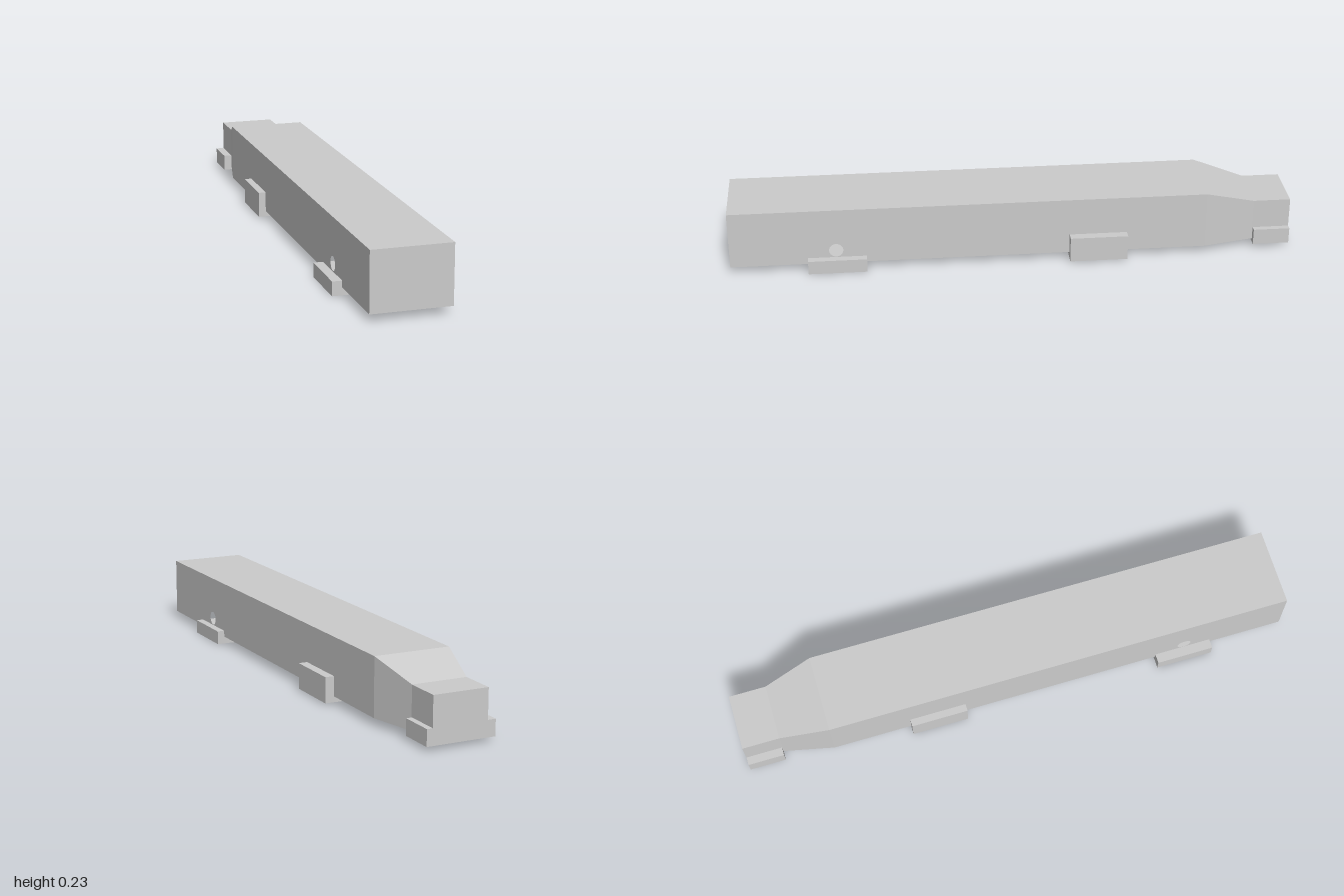
import * as THREE from 'three';
import { toCreasedNormals } from 'three/addons/utils/BufferGeometryUtils.js';

const material = new THREE.MeshStandardMaterial({ color: 0xcccccc, side: THREE.DoubleSide });
const FLOOR = 0.027;

function add(parent, name, geometry) {
  const mesh = new THREE.Mesh(geometry, material);
  mesh.name = name;
  parent.add(mesh);
  return mesh;
}

function box(parent, name, x0, x1, y0, y1, z0, z1) {
  const g = new THREE.BoxGeometry(x1 - x0, y1 - y0, z1 - z0);
  g.translate((x0 + x1) / 2, (y0 + y1) / 2, (z0 + z1) / 2);
  return add(parent, name, g);
}

function rectangle(PathType, x0, x1, y0, y1) {
  return new PathType([[x0, y0], [x1, y0], [x1, y1], [x0, y1]].map(p => new THREE.Vector2(...p)));
}

// Flat-shaded surface from four-cornered faces
function quads(list) {
  const points = list.flatMap(([a, b, c, d]) => [a, b, c, a, c, d]).flat();
  const g = new THREE.BufferGeometry();
  g.setAttribute('position', new THREE.Float32BufferAttribute(points, 3));
  g.computeVertexNormals();
  return g;
}

// Block with a pocket sunk into its underside: a rim below a solid plate
function pocketBlock(parent, name, [x0, x1], [y0, y1], [z0, z1], [px0, px1], depth, rim) {
  const shape = rectangle(THREE.Shape, x0, x1, z0, z1);
  shape.holes.push(rectangle(THREE.Path, px0, px1, z0 + rim, z1 - rim));
  const g = new THREE.ExtrudeGeometry(shape, { depth, bevelEnabled: false });
  g.rotateX(Math.PI / 2).translate(0, y0 + depth, 0);
  add(parent, name + 'Rim', g);
  box(parent, name + 'Plate', x0, x1, y0 + depth, y1, z0, z1);
}

// Thin shell, open underneath, tapering to the rear
function buildShell() {
  const shell = new THREE.Group();
  shell.name = 'shell';
  // Stations: z, half width, top height
  const stations = [[1, 0.139, 0.235], [-0.69, 0.139, 0.235], [-0.867, 0.1, 0.18], [-1, 0.1, 0.18]];
  const top = [], sides = [];
  for (let i = 0; i < 3; i++) {
    const [za, wa, ha] = stations[i], [zb, wb, hb] = stations[i + 1];
    top.push([[-wa, ha, za], [wa, ha, za], [wb, hb, zb], [-wb, hb, zb]]);
    if (i === 0) continue;
    for (const s of [1, -1]) {
      const face = [[s * wa, FLOOR, za], [s * wb, FLOOR, zb], [s * wb, hb, zb], [s * wa, ha, za]];
      sides.push(s > 0 ? face : face.reverse());
    }
  }
  add(shell, 'roof', quads(top));
  add(shell, 'taperedSides', quads(sides));

  const endFace = ([z, w, h], s) =>
    [[-s * w, FLOOR, z], [s * w, FLOOR, z], [s * w, h, z], [-s * w, h, z]];
  add(shell, 'frontWall', quads([endFace(stations[0], 1)]));
  add(shell, 'rearWall', quads([endFace(stations[3], -1)]));

  // Long side walls, each with a round pin hole
  for (const s of [1, -1]) {
    const [u0, u1] = s > 0 ? [-1, 0.69] : [-0.69, 1];
    const shape = rectangle(THREE.Shape, u0, u1, FLOOR, 0.235);
    shape.holes.push(new THREE.Path().absarc(-s * 0.627, 0.077, 0.025, 0, Math.PI * 2, true));
    const g = new THREE.ShapeGeometry(shape, 24);
    g.rotateY(s * Math.PI / 2).translate(s * 0.139, 0, 0);
    add(shell, s > 0 ? 'leftWall' : 'rightWall', g);
  }
  return shell;
}

function buildFrontMount() {
  const mount = new THREE.Group();
  mount.name = 'frontMount';
  pocketBlock(mount, 'frontMount', [-0.173, 0.166], [0, 0.05], [0.52, 0.727], [-0.135, 0.145], 0.025, 0.012);
  return mount;
}

// Middle mount: a half-round channel between two pockets
function buildMiddleMount() {
  const mount = new THREE.Group();
  mount.name = 'middleMount';
  const y0 = 0.006, y1 = 0.098, r = 0.052, w = 0.065;
  const arch = new THREE.Shape();
  arch.moveTo(-w, y1).lineTo(-w, y0).lineTo(-r, y0);
  arch.absarc(0, y0, r, Math.PI, 0, true);
  arch.lineTo(w, y0).lineTo(w, y1).closePath();
  const g = new THREE.ExtrudeGeometry(arch, { depth: 0.205, bevelEnabled: false, curveSegments: 24 });
  g.translate(0, 0, -0.405);
  add(mount, 'channel', toCreasedNormals(g, 0.6));
  pocketBlock(mount, 'leftPocket', [w, 0.171], [y0, y1], [-0.405, -0.2], [w + 0.008, 0.15], 0.03, 0.012);
  pocketBlock(mount, 'rightPocket', [-0.165, -w], [y0, y1], [-0.405, -0.2], [-0.15, -w - 0.008], 0.03, 0.012);
  return mount;
}

// Rear mount: pocket with two small ribs facing each other
function buildRearMount() {
  const mount = new THREE.Group();
  mount.name = 'rearMount';
  pocketBlock(mount, 'rearMount', [-0.129, 0.121], [0.015, 0.073], [-1, -0.87], [-0.11, 0.105], 0.025, 0.01);
  box(mount, 'ribFront', -0.015, 0.01, 0.015, 0.04, -0.92, -0.88);
  box(mount, 'ribRear', -0.015, 0.01, 0.015, 0.04, -0.99, -0.95);
  return mount;
}

export function createModel() {
  const model = new THREE.Group();
  model.name = 'handguard';
  model.add(buildShell(), buildFrontMount(), buildMiddleMount(), buildRearMount());
  return model;
}
